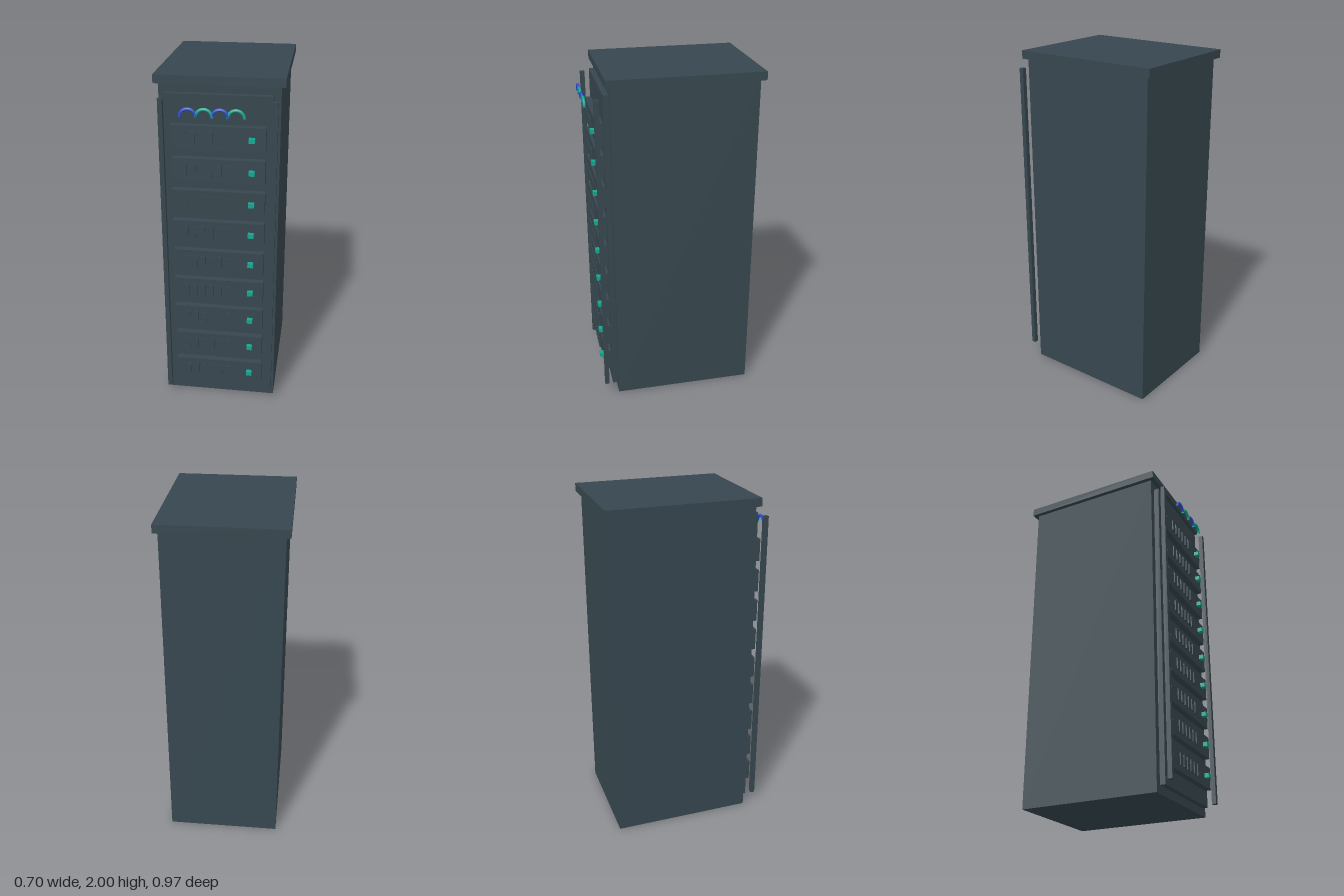
import * as THREE from 'three';

function makeMaterial(name, color) {
  const m = new THREE.MeshStandardMaterial({ color });
  m.name = name;
  return m;
}

export function createModel() {
  const slate = makeMaterial('slate', 0x37474f);
  const teal = makeMaterial('teal', 0x14a890);
  const blue = makeMaterial('blue', 0x2f50d4);
  const model = new THREE.Group();
  model.name = 'serverRack';

  // Box given by its limits on each axis
  const box = (name, mat, [x0, x1], [y0, y1], [z0, z1], parent = model) => {
    const mesh = new THREE.Mesh(new THREE.BoxGeometry(x1 - x0, y1 - y0, z1 - z0), mat);
    mesh.position.set((x0 + x1) / 2, (y0 + y1) / 2, (z0 + z1) / 2);
    mesh.name = name;
    parent.add(mesh);
    return mesh;
  };

  // Cabinet, top cap and recessed front panel
  box('cabinet', slate, [-0.328, 0.328], [0, 1.955], [-0.46, 0.364]);
  box('topCap', slate, [-0.352, 0.352], [1.953, 2], [-0.487, 0.388]);
  box('frontPanel', slate, [-0.29, 0.29], [0.046, 1.905], [0.36, 0.395]);

  // Upright rails standing off the front
  for (const [name, x] of [['leftRail', 0.305], ['rightRail', -0.305]]) {
    box(name, slate, [x - 0.013, x + 0.013], [0.064, 1.887], [0.421, 0.447]);
  }

  // Nine server units, each with six vent slats and a status light
  for (let i = 0; i < 9; i++) {
    const unit = new THREE.Group();
    unit.name = `serverUnit${i + 1}`;
    unit.position.y = 0.201 + i * 0.1847;
    model.add(unit);
    box('unitCase', slate, [-0.257, 0.257], [-0.065, 0.065], [0.39, 0.432], unit);
    for (let j = 0; j < 6; j++) {
      const x = -0.181 + j * 0.0472;
      box('ventSlat', slate, [x - 0.012, x + 0.012], [-0.034, 0.034], [0.438, 0.445], unit);
    }
    box('statusLight', teal, [0.168, 0.2], [-0.0125, 0.0125], [0.432, 0.458], unit);
  }

  // Row of arched patch cables
  const arch = new THREE.TorusGeometry(0.0433, 0.0087, 6, 14, Math.PI);
  for (let i = 0; i < 4; i++) {
    const cable = new THREE.Mesh(arch, i % 2 ? teal : blue);
    cable.name = 'patchCable';
    cable.position.set(-0.151 + i * 0.085, 1.805, 0.4785);
    model.add(cable);
  }
  return model;
}
